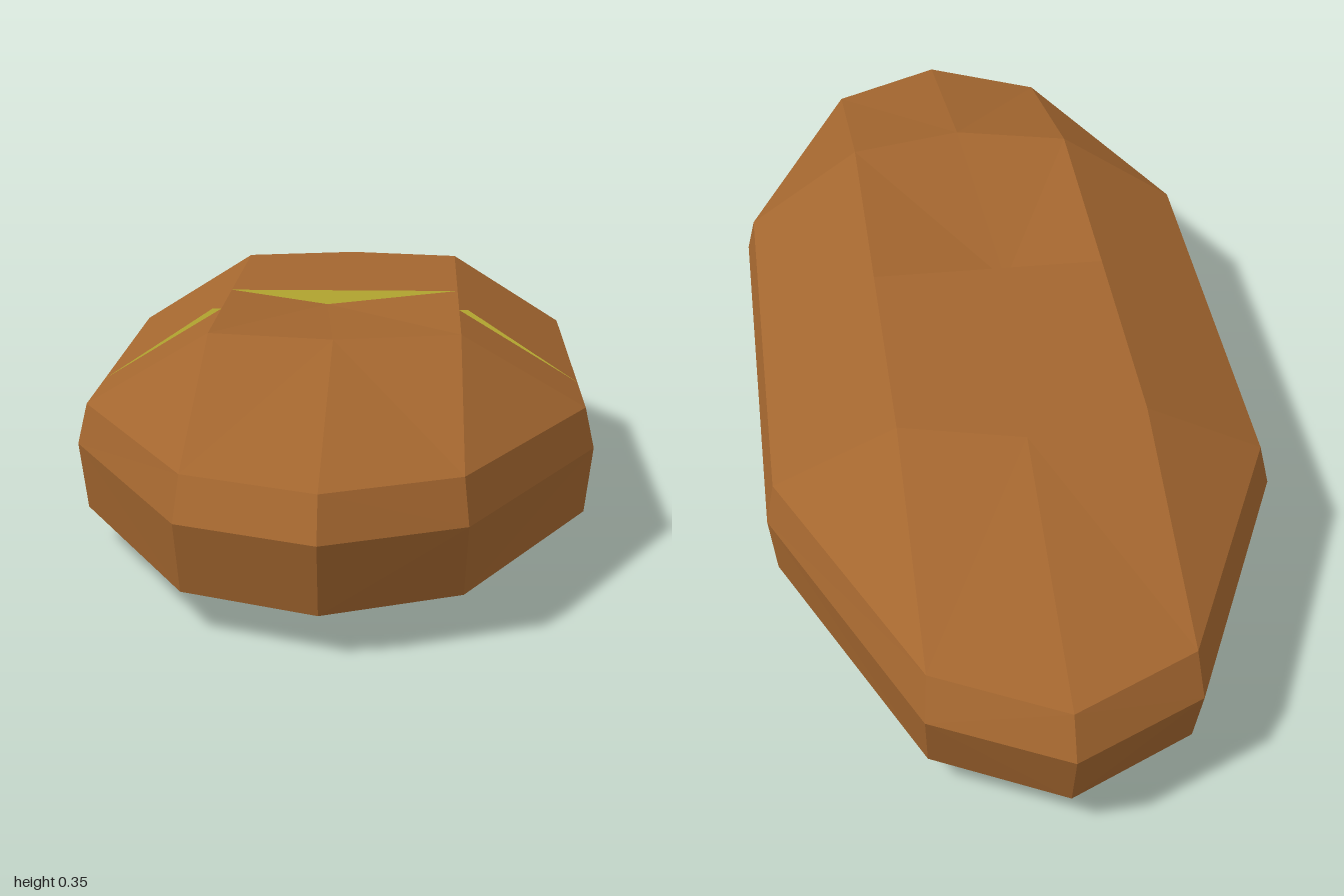
import * as THREE from 'three';

const crust = new THREE.MeshStandardMaterial({ color: 0xa3662f });
crust.name = 'brown crust';
crust.flatShading = true;
const filling = new THREE.MeshStandardMaterial({ color: 0xd8c83c });
filling.name = 'yellow filling';

// Ten-sided outline from one quarter: tip length, shoulder and side corner
function ring(y, tip, shoulder, side) {
  const [sx, sz] = shoulder, [wx, wz] = side;
  const half = [[0, tip], [sx, sz], [wx, wz], [wx, -wz], [sx, -sz]];
  return [...half, ...half.map(([x, z]) => [-x, -z])].map(([x, z]) => [x, y, z]);
}

function meshFrom(triangles, material, name) {
  const geometry = new THREE.BufferGeometry();
  geometry.setAttribute('position', new THREE.Float32BufferAttribute(triangles.flat(2), 3));
  geometry.computeVertexNormals();
  const mesh = new THREE.Mesh(geometry, material);
  mesh.name = name;
  return mesh;
}

export function createModel() {
  const model = new THREE.Group();
  model.name = 'loaf';

  const rings = [
    ring(0, 0.48, [0.2, 0.43], [0.2, 0.2]),
    ring(0.057, 0.965, [0.2, 0.86], [0.4, 0.4]),
    ring(0.165, 1, [0.206, 0.894], [0.413, 0.413]),
    ring(0.228, 0.965, [0.2, 0.86], [0.4, 0.4]),
    ring(0.35, 0.48, [0.2, 0.43], [0.2, 0.2]),
  ];

  // Sides: join neighbouring rings, folding each quad outwards
  const sides = [];
  for (let r = 0; r < rings.length - 1; r++) {
    for (let i = 0; i < 10; i++) {
      const j = (i + 1) % 10;
      const a = rings[r][i], b = rings[r][j], c = rings[r + 1][j], d = rings[r + 1][i];
      const towardsSide = i % 5 < 2;
      if (towardsSide === (r > 1)) sides.push([a, b, d], [b, c, d]);
      else sides.push([a, b, c], [a, c, d]);
    }
  }
  model.add(meshFrom(sides, crust, 'crustSides'));

  // Flat base
  const base = rings[0].map((p, i, all) => [[0, 0, 0], all[(i + 1) % 10], p]);
  model.add(meshFrom(base, crust, 'crustBase'));

  // Top: flat rear half, front half dipping slightly at the crack
  const top = rings[4];
  const left = [0.2, 0.35, 0], right = [-0.2, 0.35, 0], dip = [-0.03, 0.325, 0];
  const fan = (centre, pts) => pts.slice(1).map((p, i) => [centre, pts[i], p]);
  const rear = fan([0, 0.35, 0], [left, ...top.slice(3, 8), right]);
  const front = fan(dip, [right, top[8], top[9], top[0], top[1], top[2], left]);
  model.add(meshFrom([...rear, ...front], crust, 'crustTop'));

  // Crack wall across the top
  model.add(meshFrom([[right, dip, left]], filling, 'topCrack'));

  // Thin slivers of filling on the slopes, facing forwards
  const slivers = [];
  for (const s of [1, -1]) {
    for (const [flat, edge, dir] of [[0.35, 0.228, 1], [0, 0.057, -1]]) {
      const inner = [s * 0.2, flat, 0.2], outer = [s * 0.4, edge, 0.2], proud = [s * 0.215, flat, 0.2];
      slivers.push(s * dir > 0 ? [inner, outer, proud] : [inner, proud, outer]);
    }
  }
  model.add(meshFrom(slivers, filling, 'slopeCracks'));

  return model;
}
